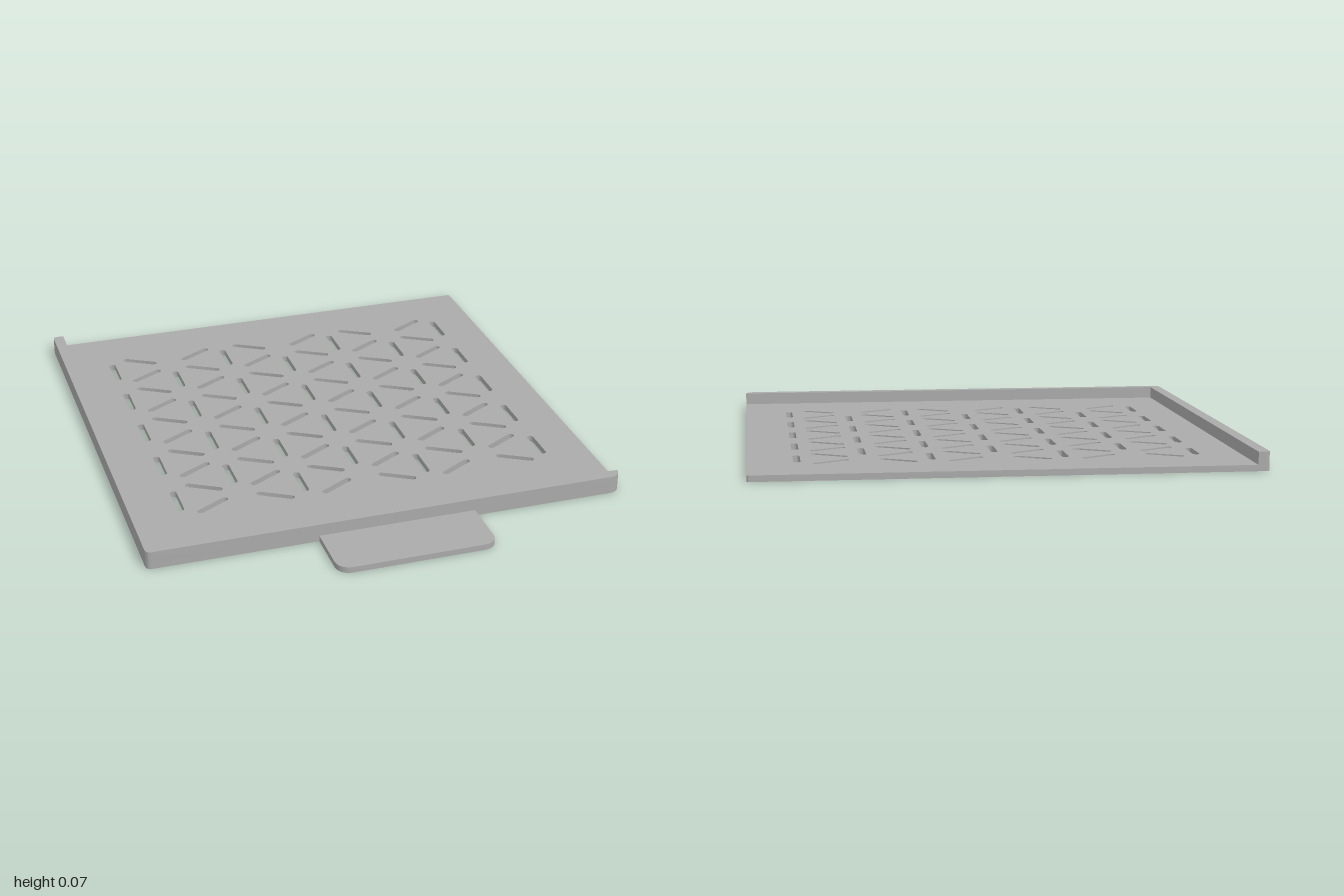
import * as THREE from 'three';
import { toCreasedNormals } from 'three/addons/utils/BufferGeometryUtils.js';

const PLATE = 0.022, RIM = 0.067;
const LEFT = -0.886, RIGHT = 0.886, BACK = -1, FRONT = 0.773, WALL = 0.042;

// Closed outline in the ground plane from [x, z, cornerRadius] points
function outline(points) {
  const shape = new THREE.Shape();
  const pts = points.map(([x, z]) => new THREE.Vector2(x, -z));
  const n = pts.length;
  pts.forEach((p, i) => {
    const r = points[i][2] || 0;
    const toPrev = pts[(i + n - 1) % n].clone().sub(p).normalize();
    const toNext = pts[(i + 1) % n].clone().sub(p).normalize();
    const at = (dir, d) => p.clone().addScaledVector(dir, d);
    const a = at(toPrev, r), b = at(toNext, r);
    if (i === 0) shape.moveTo(a.x, a.y); else shape.lineTo(a.x, a.y);
    if (r > 0) {
      const c = at(toPrev, r * 0.448), d = at(toNext, r * 0.448);
      shape.bezierCurveTo(c.x, c.y, d.x, d.y, b.x, b.y);
    }
  });
  shape.closePath();
  return shape;
}

// Round-ended slot centred at x, z; angle seen from above
function slot(x, z, angle) {
  const r = 0.0125, h = 0.0715 - r;
  const cx = h * Math.cos(angle), cy = h * Math.sin(angle);
  const path = new THREE.Path();
  path.absarc(x + cx, -z + cy, r, angle - Math.PI / 2, angle + Math.PI / 2);
  path.absarc(x - cx, -z - cy, r, angle + Math.PI / 2, angle + Math.PI * 1.5);
  path.closePath();
  return path;
}

function slab(name, shape, bottom, top, material) {
  const geo = new THREE.ExtrudeGeometry(shape, {
    depth: top - bottom, bevelEnabled: false, curveSegments: 8,
  });
  geo.rotateX(-Math.PI / 2).translate(0, bottom, 0);
  const mesh = new THREE.Mesh(toCreasedNormals(geo, Math.PI / 6), material);
  mesh.name = name;
  return mesh;
}

export function createModel() {
  const group = new THREE.Group();
  group.name = 'ventedTray';
  const grey = new THREE.MeshStandardMaterial({ color: 0xaaaaaa });
  grey.name = 'grey';

  // Base plate with the pull tab on its front edge
  const base = outline([
    [LEFT, BACK, 0.015], [RIGHT, BACK, 0.008], [RIGHT, FRONT, 0.042],
    [0.314, FRONT], [0.314, 1, 0.05], [-0.269, 1, 0.05], [-0.269, FRONT],
    [LEFT, FRONT, 0.02],
  ]);

  // Vent slots: upright columns with alternating diagonals between them
  const x0 = -0.688, stepX = 0.2336, stepZ = 0.27;
  for (let c = 0; c < 7; c++) {
    const odd = c % 2;
    for (let r = 0; r < 5 - odd; r++) {
      base.holes.push(slot(x0 + c * stepX, -0.688 + (r + odd / 2) * stepZ, Math.PI / 2));
    }
    if (c === 6) break;
    for (let r = 0; r < 10; r++) {
      const tilt = (c + r) % 2 ? Math.PI / 6 : -Math.PI / 6;
      base.holes.push(slot(x0 + (c + 0.5) * stepX, -0.756 + r * stepZ / 2, tilt));
    }
  }
  group.add(slab('basePlateWithTab', base, 0, PLATE, grey));

  // Raised rim along the right-hand side and the front
  const rim = outline([
    [LEFT, BACK, 0.015], [LEFT + WALL, BACK], [LEFT + WALL, FRONT - WALL],
    [RIGHT, FRONT - WALL], [RIGHT, FRONT, 0.0415], [LEFT, FRONT, 0.02],
  ]);
  group.add(slab('rim', rim, PLATE, RIM, grey));

  return group;
}
